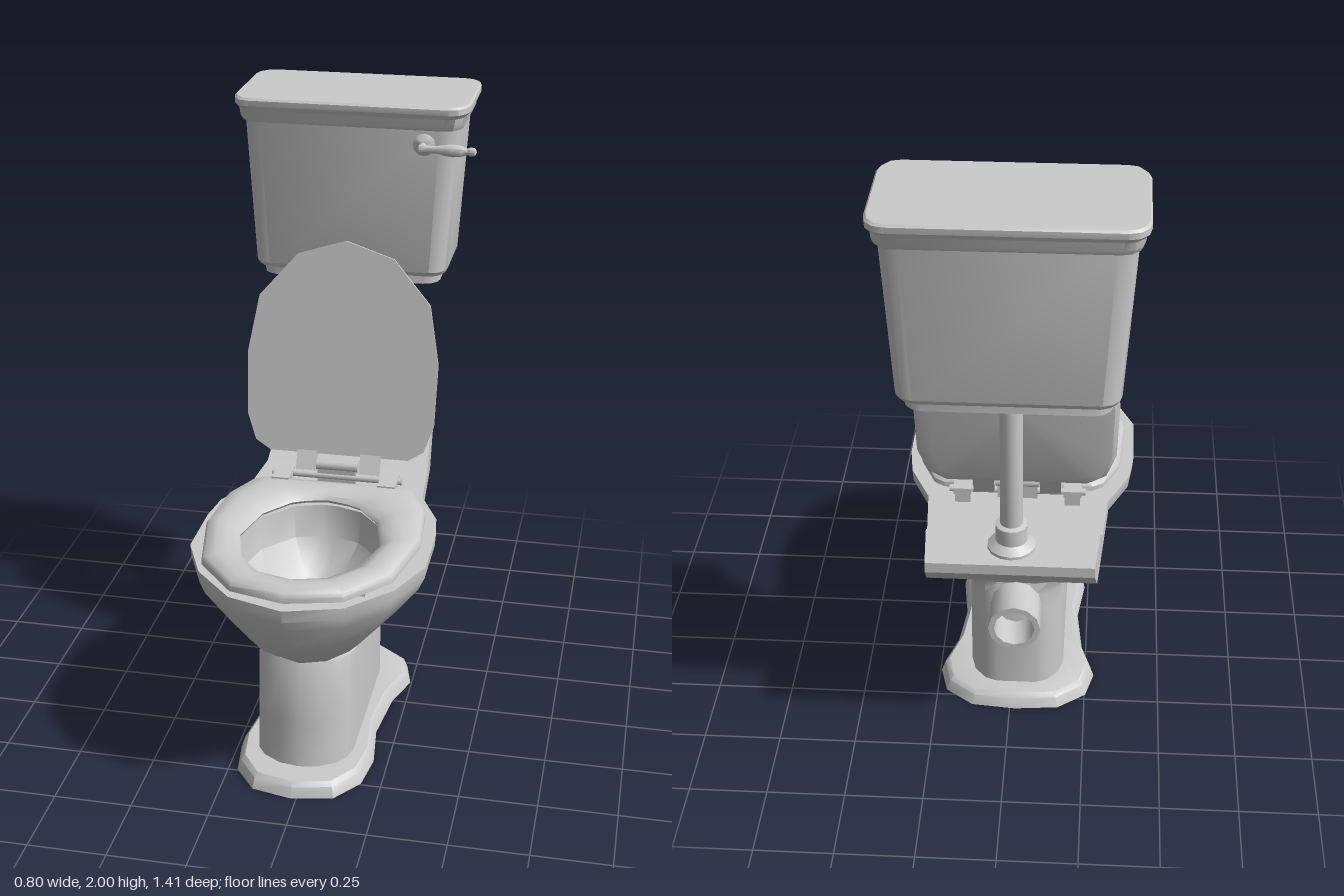
import * as THREE from 'three';
import { toCreasedNormals } from 'three/addons/utils/BufferGeometryUtils.js';

const V = (x, y, z) => new THREE.Vector3(x, y, z);
const material = new THREE.MeshStandardMaterial({ color: 0xcccccc, side: THREE.DoubleSide });

// Half outlines: [position from front 0 to back 1, fraction of the half width]
// BOWL and HOLE share a point count, as do SEAT_OUT and SEAT_IN
const BOWL = [[0, 0], [.063, .47], [.22, .81], [.41, 1], [.66, 1], [.79, .96], [1, .74]];
const HOLE = [[0, 0], [.06, .48], [.2, .8], [.47, 1], [.76, .84], [.95, .45], [1, .1]];
const FOOT = [[0, 0], [.03, .5], [.13, .77], [.27, .84], [.45, .76], [.66, .84], [.8, 1], [.91, .9], [.985, .55], [1, 0]];
const COLUMN = [[0, 0], [.015, .4], [.06, .75], [.11, .92], [.18, 1], [.84, 1], [.92, .9], [.98, .66], [1, .4]];
const SEAT_OUT = [[0, 0], [.055, .5], [.24, .86], [.55, 1], [.82, .95], [.97, .8], [1, .7], [1, 0]];
const SEAT_IN = [[0, 0], [.05, .45], [.2, .8], [.47, 1], [.76, .84], [.93, .5], [.97, .3], [1, 0]];
const COVER = [[0, .73], [.045, .89], [.17, .985], [.46, 1], [.73, .89], [.93, .5], [1, 0]];
const CISTERN = [[0, .83], [.03, .92], [.09, .98], [.17, 1], [.83, 1], [.91, .98], [.97, .92], [1, .83]];
const CAP = [[0, .84], [.02, .92], [.1, .98], [.17, 1], [.83, 1], [.92, .98], [.98, .92], [1, .84]];

// Mirrored horizontal ring at height y, from z = f (front) to z = b (back), half width w
function ring(shape, y, f, b, w) {
  const half = shape.map(([t, s]) => V(s * w, y, f + (b - f) * t));
  const other = half.filter(p => p.x > 1e-6).reverse().map(p => V(-p.x, p.y, p.z));
  return [...half, ...other];
}

// Skin through rings of equal point count, with optional end caps
function loft(rows, { start = false, end = false, crease = .65 } = {}) {
  const n = rows[0].length, pos = rows.flat().flatMap(p => [p.x, p.y, p.z]), idx = [];
  for (let i = 0; i < rows.length - 1; i++) {
    for (let j = 0; j < n; j++) {
      const k = (j + 1) % n, a = i * n, c = a + n;
      idx.push(a + j, a + k, c + k, a + j, c + k, c + j);
    }
  }
  const cap = (row, flip) => {
    const mid = rows[row].reduce((s, p) => s.add(p), V(0, 0, 0)).divideScalar(n);
    const m = pos.length / 3;
    pos.push(mid.x, mid.y, mid.z);
    for (let j = 0; j < n; j++) {
      const a = row * n + j, b = row * n + (j + 1) % n;
      idx.push(m, flip ? b : a, flip ? a : b);
    }
  };
  if (start) cap(0, true);
  if (end) cap(rows.length - 1, false);
  const g = new THREE.BufferGeometry();
  g.setAttribute('position', new THREE.Float32BufferAttribute(pos, 3));
  g.setIndex(idx);
  return toCreasedNormals(g, crease);
}

const rings = (shape, list) => list.map(r => ring(shape, ...r));
const lathe = (pts, n = 12) =>
  toCreasedNormals(new THREE.LatheGeometry(pts.map(p => new THREE.Vector2(...p)), n), .75);

export function createModel() {
  const group = new THREE.Group();
  const body = new THREE.Group();
  body.name = 'toilet';
  body.position.x = -.017;
  group.add(body);
  const add = (name, geo, x = 0, y = 0, z = 0) => {
    const m = new THREE.Mesh(geo, material);
    m.name = name;
    m.position.set(x, y, z);
    body.add(m);
    return m;
  };
  const box = (name, w, h, d, x, y, z) => add(name, new THREE.BoxGeometry(w, h, d), x, y, z);

  // Foot flange, open underneath
  add('footFlange', loft([
    ...rings(FOOT, [[0, .615, -.31, .263], [.035, .605, -.3, .25], [.048, .59, -.285, .235]]),
    ring(FOOT, .05, .49, -.2, .15)]));

  // Pedestal column, leaning back into the shelf
  add('pedestal', loft(rings(COLUMN, [
    [.04, .51, -.228, .157], [.2, .498, -.226, .157], [.35, .485, -.22, .157], [.41, .46, -.21, .157],
    [.45, .05, -.2, .157], [.52, -.01, -.235, .16], [.6, -.04, -.31, .175], [.67, -.05, -.39, .2]])));

  // Bowl: outside up to the rim, then down the inside
  add('bowl', loft([
    ...rings(BOWL, [[.34, .34, .08, .1], [.375, .4, .05, .152], [.41, .47, .02, .172], [.475, .56, -.04, .222],
      [.555, .63, -.075, .283], [.65, .685, -.11, .353], [.69, .703, -.15, .372], [.73, .705, -.15, .375]]),
    ...rings(HOLE, [[.73, .6, 0, .25], [.62, .56, .01, .235], [.53, .44, .08, .14], [.48, .34, .14, .07]]),
  ], { start: true, end: true }));

  // Shelf stepping up behind the bowl, tapering backward
  const side = new THREE.Shape([[.08, .667], [.47, .667], [.57, .765], [.57, .8], [.395, .8], [.3, .73], [.08, .73]]
    .map(p => new THREE.Vector2(...p)));
  const shelf = new THREE.ExtrudeGeometry(side, { depth: 1, bevelEnabled: false }).translate(0, 0, -.5).rotateY(Math.PI / 2);
  const sp = shelf.attributes.position;
  for (let i = 0; i < sp.count; i++) sp.setX(i, sp.getX(i) * 2 * (.295 + (sp.getZ(i) + .08) * .075));
  shelf.computeVertexNormals();
  add('shelf', shelf);

  // Hollow waste outlet at the back
  add('wasteOutlet', lathe([[.085, 0], [.085, .18], [.066, .18], [.066, .04], [0, .04]])
    .rotateX(-Math.PI / 2), 0, .37, -.16);

  // Seat ring: cross-section blended between outer (1) and inner (0) outline
  const outer = ring(SEAT_OUT, 0, .69, -.085, .345), inner = ring(SEAT_IN, 0, .575, .02, .223);
  add('seat', loft([[1, .748], [1, .765], [.93, .778], [.65, .787], [.35, .785], [.07, .772], [0, .758], [.04, .748], [1, .748]]
    .map(([s, y]) => inner.map((p, i) => p.clone().lerp(outer[i], s).setY(y))), { crease: .8 }));

  // Seat buffers
  for (const s of [-1, 1]) {
    box('seatBuffer', .05, .022, .08, s * .2, .738, .53);
    box('seatBuffer', .05, .022, .06, s * .24, .738, .02);
  }

  // Raised cover, flat in front and bevelled behind
  const cover = add('seatCover', loft(rings(COVER, [
    [-.034, -.035, -.665, .27], [-.027, -.012, -.7, .305], [-.01, 0, -.72, .32], [0, 0, -.72, .32]]),
  { start: true, end: true, crease: .6 }), 0, .84, -.158);
  cover.rotation.x = THREE.MathUtils.degToRad(80);

  // Hinges
  const rod = (name, r, len, y, z) =>
    add(name, new THREE.CylinderGeometry(r, r, len, 10).rotateZ(Math.PI / 2), 0, y, z);
  rod('hingeRod', .012, .44, .775, -.13);
  rod('hingeBarrel', .018, .14, .812, -.135);
  box('hingeBarrelBlock', .13, .05, .024, 0, .78, -.135);
  for (const s of [-1, 1]) {
    box('hingeStrap', .058, .022, .1, s * .178, .778, -.105);
    box('hingePost', .05, .06, .03, s * .178, .75, -.13);
    box('coverTab', .068, .08, .022, s * .107, .82, -.158).rotation.x = -.45;
  }

  // Flush pipe with collars
  add('flushPipe', lathe([[.075, .795], [.075, .81], [.05, .83], [.05, .885], [.035, .89], [.035, 1.31],
    [.05, 1.312], [.05, 1.36], [.07, 1.385], [.07, 1.41]], 14), 0, 0, -.468);

  // Cistern and its lid
  add('cistern', loft(rings(CISTERN, [
    [1.4, -.34, -.66, .295], [1.43, -.34, -.66, .297], [1.43, -.328, -.672, .312], [1.445, -.32, -.68, .32],
    [1.93, -.32, -.68, .352]]), { start: true, crease: .5 }));
  add('cisternLid', loft(rings(CAP, [
    [1.92, -.31, -.69, .36], [1.935, -.303, -.697, .367], [1.96, -.3, -.7, .37], [1.975, -.29, -.71, .382],
    [1.993, -.29, -.71, .382], [2, -.296, -.704, .376]]), { start: true, end: true, crease: .6 }));

  // Flush lever
  add('leverPlate', lathe([[0, 0], [.036, 0], [.036, .008], [.02, .018], [.011, .022], [.011, .06], [0, .06]])
    .rotateX(Math.PI / 2), .242, 1.872, -.325);
  const lever = add('flushLever', lathe([[0, -.015], [.013, -.008], [.012, .02], [.012, .05], [.018, .08],
    [.02, .1], [.016, .13], [.01, .145], [.014, .155], [.012, .17], [0, .176]], 10).rotateZ(-Math.PI / 2), .242, 1.872, -.272);
  lever.rotation.y = -.04;
  return group;
}
